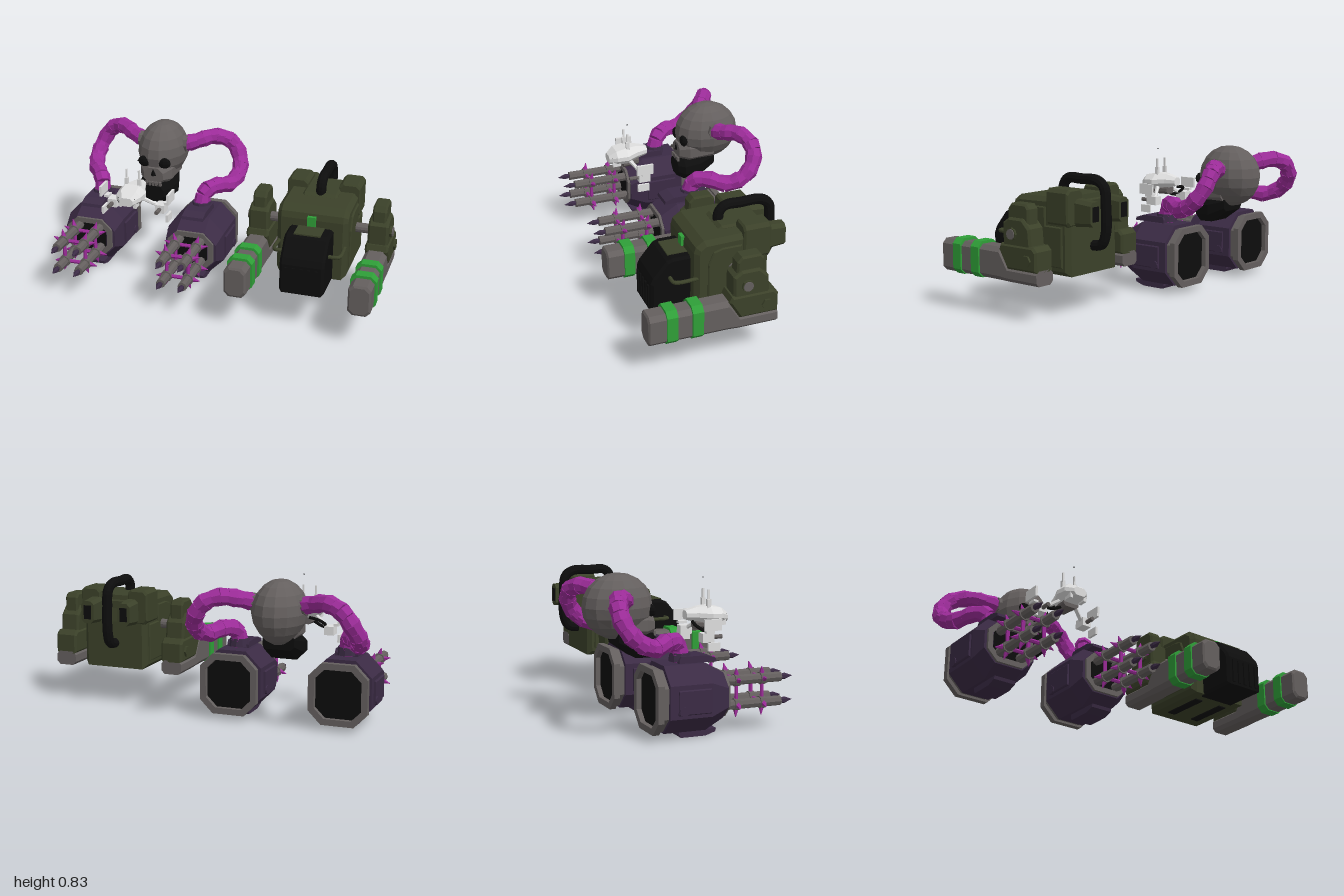
import * as THREE from 'three';

const mat = (name, color) => {
  const m = new THREE.MeshStandardMaterial({ color });
  m.name = name;
  return m;
};

export function createModel() {
  const green = mat('olive green', 0x3b4129), grey = mat('warm grey', 0x645f5e);
  const black = mat('black', 0x0d0d0d), bright = mat('bright green', 0x2f9f38);
  const purple = mat('dark purple', 0x3b2b45), magenta = mat('magenta', 0x9c2c99);
  const white = mat('white', 0xdedede);

  // every mesh is faceted
  const add = (parent, name, geo, material, x = 0, y = 0, z = 0) => {
    const g = geo.index ? geo.toNonIndexed() : geo;
    g.computeVertexNormals();
    const m = new THREE.Mesh(g, material);
    m.name = name;
    m.position.set(x, y, z);
    parent.add(m);
    return m;
  };
  const group = (parent, name, x = 0) => {
    const g = new THREE.Group();
    g.name = name;
    g.position.x = x;
    parent.add(g);
    return g;
  };
  const box = (p, name, m, w, h, d, x, y, z) => add(p, name, new THREE.BoxGeometry(w, h, d), m, x, y, z);

  // rectangle with cut corners, counter-clockwise
  const oct = (w, h, c) => {
    const a = w / 2, b = h / 2;
    return [[a, -b + c], [a, b - c], [a - c, b], [-a + c, b], [-a, b - c], [-a, -b + c], [-a + c, -b], [a - c, -b]]
      .map(([x, y]) => new THREE.Vector2(x, y));
  };
  // skin over cut-corner sections [z, centreY, width, height, cut], z rising
  const loft = (secs) => {
    const pos = [], rings = secs.map(([z, cy, w, h, c]) => oct(w, h, c).map(p => [p.x, p.y + cy, z]));
    const tri = (...t) => t.forEach(v => pos.push(...v));
    const last = rings.length - 1;
    for (let i = 0; i < 8; i++) {
      const j = (i + 1) % 8;
      for (let k = 0; k < last; k++) {
        const a = rings[k], b = rings[k + 1];
        tri(a[i], a[j], b[j]);
        tri(a[i], b[j], b[i]);
      }
      tri([0, secs[last][1], secs[last][0]], rings[last][i], rings[last][j]);
      tri([0, secs[0][1], secs[0][0]], rings[0][j], rings[0][i]);
    }
    return new THREE.BufferGeometry().setAttribute('position', new THREE.Float32BufferAttribute(pos, 3));
  };
  // cut-corner frame with an opening
  const frame = (w, h, c, t, depth) => {
    const s = new THREE.Shape(oct(w, h, c));
    s.holes.push(new THREE.Path(oct(w - 2 * t, h - 2 * t, c * 0.75)));
    return new THREE.ExtrudeGeometry(s, { depth, bevelEnabled: false });
  };
  // side profile in (z, y) given width along x, with a bevel
  const side = (pts, width, bevel) => {
    const s = new THREE.Shape(pts.map(([z, y]) => new THREE.Vector2(-z, y)));
    return new THREE.ExtrudeGeometry(s, { depth: width - 2 * bevel, bevelThickness: bevel, bevelSize: bevel, bevelOffset: -bevel, bevelSegments: 1, bevelEnabled: bevel > 0 })
      .translate(0, 0, -width / 2 + bevel).rotateY(Math.PI / 2);
  };
  const rod = (p, name, m, a, b, r0, r1 = r0, n = 8) => {
    const A = new THREE.Vector3(...a), d = new THREE.Vector3(...b).sub(A);
    const mesh = add(p, name, new THREE.CylinderGeometry(r1, r0, d.length(), n), m);
    mesh.position.copy(A).addScaledVector(d, 0.5);
    mesh.quaternion.setFromUnitVectors(new THREE.Vector3(0, 1, 0), d.normalize());
    return mesh;
  };
  const curve = pts => new THREE.CatmullRomCurve3(pts.map(p => new THREE.Vector3(...p)));
  const hose = (p, name, m, pts, r, n = 28) => add(p, name, new THREE.TubeGeometry(curve(pts), n, r, 10), m);

  const root = new THREE.Group();
  root.name = 'machines';

  // ---- walker on long feet ----
  const walker = group(root, 'walker', 0.585);
  add(walker, 'hull', side([[0.21, 0.225], [0.21, 0.57], [0.2, 0.605], [0.155, 0.637], [-0.19, 0.645], [-0.21, 0.62], [-0.21, 0.225]], 0.4, 0.025), green);
  add(walker, 'cowl', side([[0.1, 0.5], [0.04, 0.64], [0.02, 0.655], [-0.2, 0.655], [-0.22, 0.5]], 0.2, 0.012), green);
  add(walker, 'muzzle', side([[0.43, 0.22], [0.43, 0.39], [0.415, 0.425], [0.34, 0.515], [0.31, 0.528], [0.18, 0.528], [0.18, 0.22]], 0.25, 0.014), black);
  box(walker, 'muzzleInset', green, 0.15, 0.008, 0.12, 0, 0.528, 0.26);
  for (let i = -2; i <= 2; i++) box(walker, 'muzzleRib', black, 0.018, 0.14, 0.012, i * 0.042, 0.305, 0.432);
  box(walker, 'lamp', bright, 0.048, 0.055, 0.025, 0, 0.565, 0.212);
  for (const x of [-0.09, 0.09]) box(walker, 'bellySlot', black, 0.05, 0.008, 0.26, x, 0.222, 0);
  hose(walker, 'topHose', black, [[0, 0.62, 0.005], [0, 0.69, 0], [0, 0.724, -0.035], [0, 0.726, -0.12], [0, 0.724, -0.24], [0, 0.69, -0.287], [0, 0.6, -0.298], [0, 0.45, -0.298], [0, 0.385, -0.27], [0, 0.37, -0.19]], 0.029, 48);
  for (const s of [-1, 1]) {
    add(walker, 'shoulderBlock', loft([[-0.215, 0.592, 0.11, 0.18, 0.02], [-0.205, 0.592, 0.125, 0.2, 0.02], [-0.07, 0.592, 0.125, 0.2, 0.02], [-0.06, 0.592, 0.11, 0.18, 0.02]]), green, s * 0.15);
    add(walker, 'thruster', loft([[-0.325, 0.565, 0.08, 0.13, 0.02], [-0.2, 0.565, 0.085, 0.15, 0.02]]), green, s * 0.115);
    box(walker, 'thrusterOpening', black, 0.045, 0.08, 0.006, s * 0.115, 0.565, -0.326);
    add(walker, 'sidePanel', side([[0.14, 0.27], [0.14, 0.5], [0.11, 0.575], [0.06, 0.59], [-0.05, 0.59], [-0.05, 0.49], [-0.17, 0.49], [-0.17, 0.27]], 0.02, 0.006), green, s * 0.2);
    hose(walker, 'frontHandle', green, [[s * 0.185, 0.42, 0.18], [s * 0.187, 0.42, 0.3], [s * 0.175, 0.42, 0.322], [s * 0.11, 0.42, 0.325]], 0.011);
    rod(walker, 'axle', grey, [s * 0.18, 0.465, 0], [s * 0.42, 0.465, 0], 0.028, 0.028, 12);

    // leg and foot
    const leg = group(walker, s < 0 ? 'rightLeg' : 'leftLeg', s * 0.345);
    add(leg, 'foot', loft([[-0.175, 0.244, 0.125, 0.082, 0.02], [0.04, 0.244, 0.125, 0.082, 0.02], [0.1, 0.292, 0.125, 0.178, 0.025], [0.535, 0.292, 0.125, 0.178, 0.025], [0.543, 0.292, 0.105, 0.155, 0.025]]), grey);
    for (const z of [0.385, 0.245]) add(leg, 'footBand', loft([[z, 0.297, 0.144, 0.198, 0.03], [z + 0.06, 0.297, 0.144, 0.198, 0.03]]), bright);
    add(leg, 'ankleCover', side([[0.1, 0.375], [0.085, 0.41], [-0.15, 0.41], [-0.175, 0.385], [-0.175, 0.275], [0.04, 0.275]], 0.132, 0.012), green);
    add(leg, 'shin', side([[0.075, 0.39], [0.075, 0.52], [0.03, 0.55], [-0.07, 0.55], [-0.12, 0.5], [-0.13, 0.39]], 0.115, 0.012), green);
    add(leg, 'knee', side([[0.055, 0.5], [0.05, 0.595], [0.025, 0.625], [-0.08, 0.625], [-0.1, 0.6], [-0.1, 0.5]], 0.08, 0.01), green);
    rod(leg, 'ankleBolt', green, [0, 0.335, -0.11], [s * 0.078, 0.335, -0.11], 0.032, 0.032, 6);
    rod(leg, 'hipBolt', green, [0, 0.465, 0], [s * 0.07, 0.465, 0], 0.034, 0.034, 8);
  }

  // ---- skull with two drill fists ----
  const beast = group(root, 'skullMachine', -0.484);
  const cran = new THREE.SphereGeometry(1, 14, 10);
  const cp = cran.attributes.position;
  for (let i = 0; i < cp.count; i++) {
    const y = cp.getY(i), k = y < -0.2 ? 1 + (y + 0.2) * 0.25 : 1;
    cp.setXYZ(i, cp.getX(i) * 0.15 * k, y * 0.18, cp.getZ(i) * 0.195);
  }
  add(beast, 'cranium', cran, grey, 0, 0.655, -0.348);
  add(beast, 'upperJaw', loft([[-0.36, 0.56, 0.22, 0.13, 0.04], [-0.21, 0.555, 0.2, 0.12, 0.03], [-0.155, 0.55, 0.12, 0.1, 0.03]]), grey);
  add(beast, 'lowerJaw', loft([[-0.37, 0.49, 0.18, 0.08, 0.02], [-0.27, 0.455, 0.235, 0.15, 0.045], [-0.18, 0.445, 0.21, 0.14, 0.045], [-0.145, 0.445, 0.13, 0.11, 0.035]]), black);
  add(beast, 'noseHollow', new THREE.ConeGeometry(0.022, 0.045, 3).scale(1, 1, 0.4), black, 0, 0.575, -0.152);
  for (let i = -2; i <= 2; i++) box(beast, 'tooth', grey, 0.016, 0.025, 0.012, i * 0.022, 0.503, -0.15);

  for (const s of [-1, 1]) {
    add(beast, 'eyeSocket', new THREE.SphereGeometry(1, 8, 6).scale(0.042, 0.034, 0.022), black, s * 0.062, 0.632, -0.178);
    rod(beast, 'neckCollar', grey, [s * 0.1, 0.7, -0.36], [s * 0.155, 0.7, -0.36], 0.052);

    // segmented cable
    const cable = group(beast, 'armCable');
    const path = curve([[0.12, 0.695, -0.355], [0.2, 0.715, -0.385], [0.3, 0.735, -0.45], [0.39, 0.7, -0.485], [0.445, 0.62, -0.475], [0.465, 0.54, -0.41], [0.435, 0.495, -0.31], [0.375, 0.515, -0.21], [0.325, 0.49, -0.14], [0.32, 0.4, -0.12]]
      .map(([x, y, z]) => [x * s, y, z])).getSpacedPoints(22);
    for (let i = 0; i < 22; i++) {
      const a = path[i], b = path[i + 1].clone().lerp(a, -0.2);
      rod(cable, 'cableSegment', magenta, a.toArray(), b.toArray(), i % 2 ? 0.052 : 0.045, i % 2 ? 0.045 : 0.05);
    }

    const fist = group(beast, s < 0 ? 'rightFist' : 'leftFist', s * 0.318);
    add(fist, 'fistShell', loft([[-0.245, 0.217, 0.345, 0.355, 0.09], [-0.01, 0.217, 0.345, 0.355, 0.09], [0.09, 0.217, 0.31, 0.24, 0.07]]), purple);
    add(fist, 'frontFrame', frame(0.28, 0.235, 0.06, 0.03, 0.02), grey, 0, 0.22, 0.085);
    box(fist, 'frontOpening', black, 0.2, 0.17, 0.008, 0, 0.22, 0.09);
    add(fist, 'backCollar', loft([[-0.275, 0.21, 0.31, 0.32, 0.08], [-0.24, 0.21, 0.31, 0.32, 0.08]]), grey);
    add(fist, 'backFrame', frame(0.335, 0.345, 0.075, 0.035, 0.035), grey, 0, 0.21, -0.31);
    add(fist, 'backOpening', loft([[-0.282, 0.21, 0.28, 0.29, 0.055], [-0.274, 0.21, 0.28, 0.29, 0.055]]), black);
    for (const [y, f] of [[0.04, -1], [0.395, 1]])
      add(fist, 'armourPlate', side([[0.06, y], [0.055, y + f * 0.018], [0, y + f * 0.036], [-0.14, y + f * 0.036], [-0.15, y + f * 0.018], [-0.15, y]].sort(() => 0), 0.13, 0), purple);
    rod(fist, 'cableSocket', purple, [0, 0.4, -0.12], [0, 0.445, -0.12], 0.062, 0.055, 10);
    for (const f of [-1, 1]) {
      add(fist, 'sidePlate', loft([[-0.2, 0.215, 0.02, 0.13, 0.005], [-0.02, 0.215, 0.02, 0.13, 0.005]]), purple, f * 0.174);
      rod(fist, 'sideBolt', purple, [f * 0.16, 0.17, -0.175], [f * 0.19, 0.17, -0.175], 0.025, 0.025, 10);
      // drill barrels with spiked clamps
      for (const g of [-1, 1]) {
        const x = f * 0.065, y = 0.222 + g * 0.065;
        rod(fist, 'barrel', grey, [x, y, 0.07], [x, y, 0.433], 0.027);
        rod(fist, 'drillTip', purple, [x, y, 0.43], [x, y, 0.46], 0.013, 0.018, 6);
        rod(fist, 'drillPoint', purple, [x, y, 0.46], [x, y, 0.505], 0.018, 0.001, 6);
        for (const z of [0.175, 0.325]) {
          rod(fist, 'clamp', grey, [x, y, z - 0.016], [x, y, z + 0.016], 0.034);
          rod(fist, 'clampSpike', magenta, [x + f * 0.02, y, z], [x + f * 0.068, y + g * 0.012, z - 0.008], 0.018, 0.002, 5);
          rod(fist, 'clampSpike', magenta, [x, y + g * 0.02, z], [x + f * 0.012, y + g * 0.066, z - 0.008], 0.018, 0.002, 5);
        }
      }
      for (const z of [0.175, 0.325]) {
        rod(fist, 'clampLink', magenta, [-0.05, 0.222 + f * 0.065, z], [0.05, 0.222 + f * 0.065, z], 0.011, 0.011, 6);
        rod(fist, 'clampLink', magenta, [f * 0.065, 0.17, z], [f * 0.065, 0.275, z], 0.011, 0.011, 6);
      }
    }
  }

  // ---- small hovering drone ----
  const drone = group(root, 'drone', -0.484);
  add(drone, 'droneShell', loft([[0.045, 0.585, 0.06, 0.05, 0.015], [0.11, 0.585, 0.1, 0.085, 0.03], [0.18, 0.58, 0.165, 0.105, 0.04], [0.245, 0.578, 0.15, 0.085, 0.03], [0.288, 0.565, 0.08, 0.05, 0.015]]), white);
  add(drone, 'droneBelly', loft([[0.1, 0.53, 0.07, 0.05, 0.015], [0.2, 0.53, 0.1, 0.05, 0.015]]), grey);
  hose(drone, 'droneHose', black, [[-0.03, 0.55, 0.08], [-0.09, 0.54, 0.07], [-0.115, 0.51, 0.11], [-0.09, 0.49, 0.15], [-0.03, 0.52, 0.15]], 0.009);
  rod(drone, 'beacon', black, [0.035, 0.78, 0.17], [0.035, 0.786, 0.17], 0.003, 0.003, 5);
  for (const s of [-1, 1]) {
    box(drone, 'droneEye', black, 0.028, 0.016, 0.012, s * 0.035, 0.578, 0.268);
    box(drone, 'mandible', white, 0.018, 0.04, 0.05, s * 0.045, 0.545, 0.245);
    box(drone, 'antennaBase', white, 0.018, 0.05, 0.022, s * 0.038, 0.645, 0.172);
    box(drone, 'antenna', white, 0.008, 0.1, 0.012, s * 0.038, 0.672, 0.172);
    rod(drone, 'droneArm', white, [s * 0.03, 0.56, 0.17], [s * 0.14, 0.485, 0.11], 0.013, 0.011, 6);
    box(drone, 'droneHand', white, 0.055, 0.05, 0.07, s * 0.148, 0.48, 0.11);
    rod(drone, 'droneGun', grey, [s * 0.148, 0.48, 0.14], [s * 0.148, 0.48, 0.2], 0.012);
    box(drone, 'upperWing', white, 0.014, 0.062, 0.1, s * 0.208, 0.555, 0.12);
    box(drone, 'innerWing', white, 0.03, 0.014, 0.05, s * 0.187, 0.515, 0.11);
    box(drone, 'lowerWing', white, 0.014, 0.045, 0.07, s * 0.2, 0.435, 0.13);
  }

  // armour plate profiles run both ways round, so the bottom and top stay consistent after extrusion
  return root;
}
